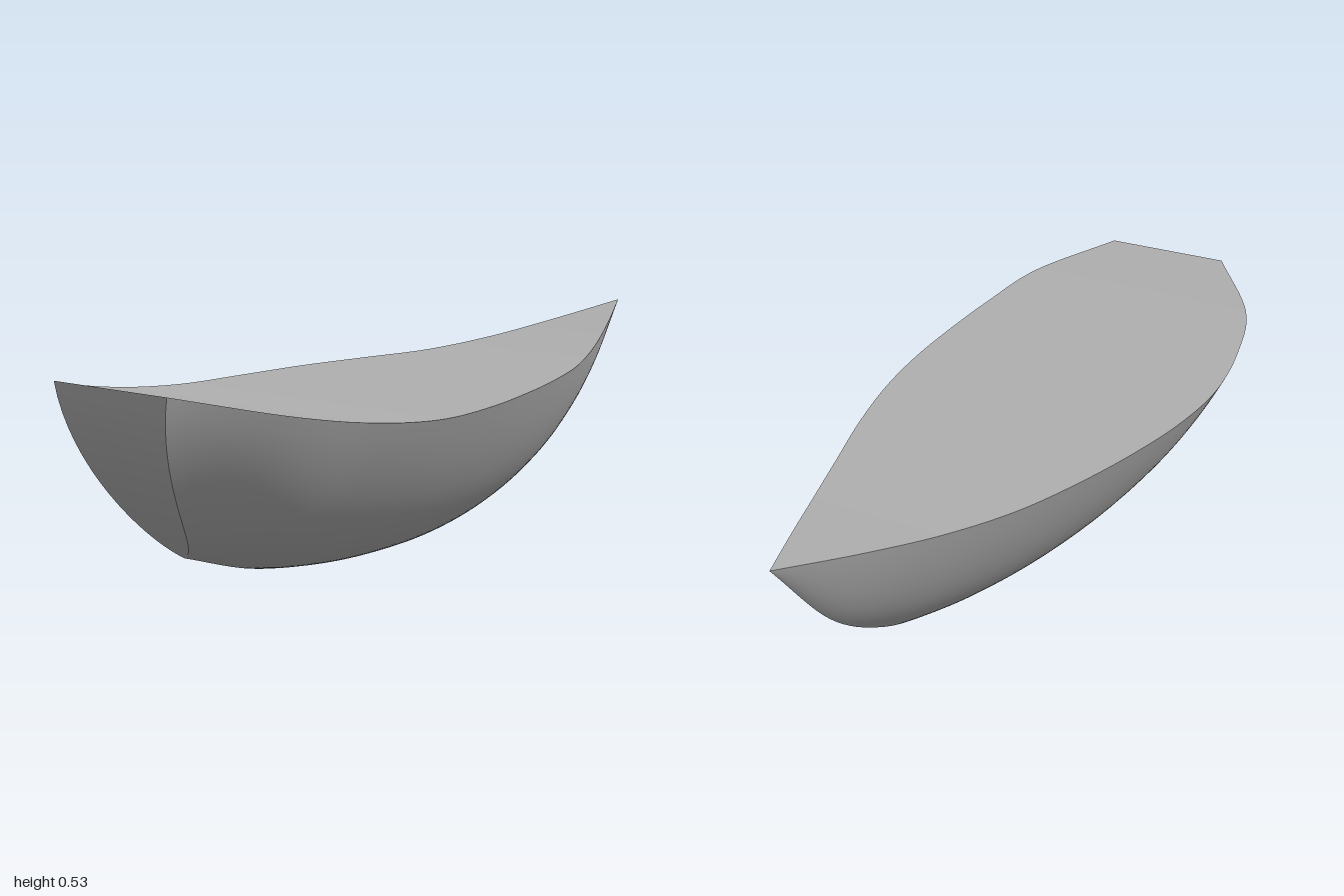
import * as THREE from 'three';

// Smooth interpolation through evenly spaced values, u in 0..1
function spline(values, u) {
  const n = values.length - 1;
  const k = Math.min(Math.floor(u * n), n - 1);
  const f = u * n - k;
  const a = values[k], b = values[k + 1];
  const before = k > 0 ? values[k - 1] : 2 * a - b;
  const after = k + 2 <= n ? values[k + 2] : 2 * b - a;
  const m0 = (b - before) / 2, m1 = (after - a) / 2;
  const f2 = f * f, f3 = f2 * f;
  return a * (2 * f3 - 3 * f2 + 1) + m0 * (f3 - 2 * f2 + f)
    + b * (3 * f2 - 2 * f3) + m1 * (f3 - f2);
}

// Hull lines: half breadth and height of the sheer (x -1..1), keel height (x -0.8..1)
const BREADTH = [0.17, 0.325, 0.38, 0.4, 0.39, 0.358, 0.308, 0.244, 0.17, 0.088, 0];
const SHEER = [0.52, 0.47, 0.434, 0.415, 0.414, 0.418, 0.421, 0.427, 0.45, 0.487, 0.53];
const KEEL = [0.12, 0.053, 0.018, 0.003, 0.003, 0.025, 0.073, 0.155, 0.295, 0.53];

// Point on the hull: t from stern to bow, s from keel to sheer, side +1 or -1
function hullPoint(t, s, side) {
  const keelX = -1 + 2 * t + 0.2 * (1 - t) ** 2;
  const keelY = spline(KEEL, (keelX + 0.8) / 1.8);
  const sheerY = spline(SHEER, t);
  const round = 0.2 * s + 0.8 * s ** 2.4;
  const sharp = 0.6 * s + 0.4 * s * s;
  const rise = THREE.MathUtils.lerp(round, sharp, t * t);
  const rake = 0.2 * (1 - t) ** 2 * (1 - rise) ** 1.85;
  return [-1 + 2 * t + rake, keelY + (sheerY - keelY) * rise, side * s * spline(BREADTH, t)];
}

// Grid surface from point(u, v); faces along du x dv, or the other way when flipped
function surface(point, nu, nv, flip = false) {
  const positions = [], index = [];
  for (let i = 0; i <= nu; i++) {
    for (let j = 0; j <= nv; j++) positions.push(...point(i / nu, j / nv));
  }
  for (let i = 0; i < nu; i++) {
    for (let j = 0; j < nv; j++) {
      const a = i * (nv + 1) + j, b = a + nv + 1;
      if (flip) index.push(a, b + 1, b, a, a + 1, b + 1);
      else index.push(a, b, b + 1, a, b + 1, a + 1);
    }
  }
  const geometry = new THREE.BufferGeometry();
  geometry.setAttribute('position', new THREE.Float32BufferAttribute(positions, 3));
  geometry.setIndex(index);
  geometry.computeVertexNormals();
  return geometry;
}

export function createModel() {
  const group = new THREE.Group();
  group.name = 'boatHull';
  const grey = new THREE.MeshStandardMaterial({ color: 0xb0b0b0 });
  grey.name = 'hullGrey';

  const add = (name, geometry) => {
    const mesh = new THREE.Mesh(geometry, grey);
    mesh.name = name;
    group.add(mesh);
  };

  // Two curved sides meeting in a sharp keel
  add('frontSide', surface((t, s) => hullPoint(t, s, 1), 80, 24));
  add('backSide', surface((t, s) => hullPoint(t, s, -1), 80, 24, true));

  // Deck spanning the sheer lines
  add('deck', surface((t, v) => hullPoint(t, 1, 1 - 2 * v), 80, 2));

  // Curved transom closing the stern
  add('transom', surface((s, v) => {
    const [x, y, z] = hullPoint(0, s, 1);
    return [x, y, z * (1 - 2 * v)];
  }, 24, 2));

  return group;
}
